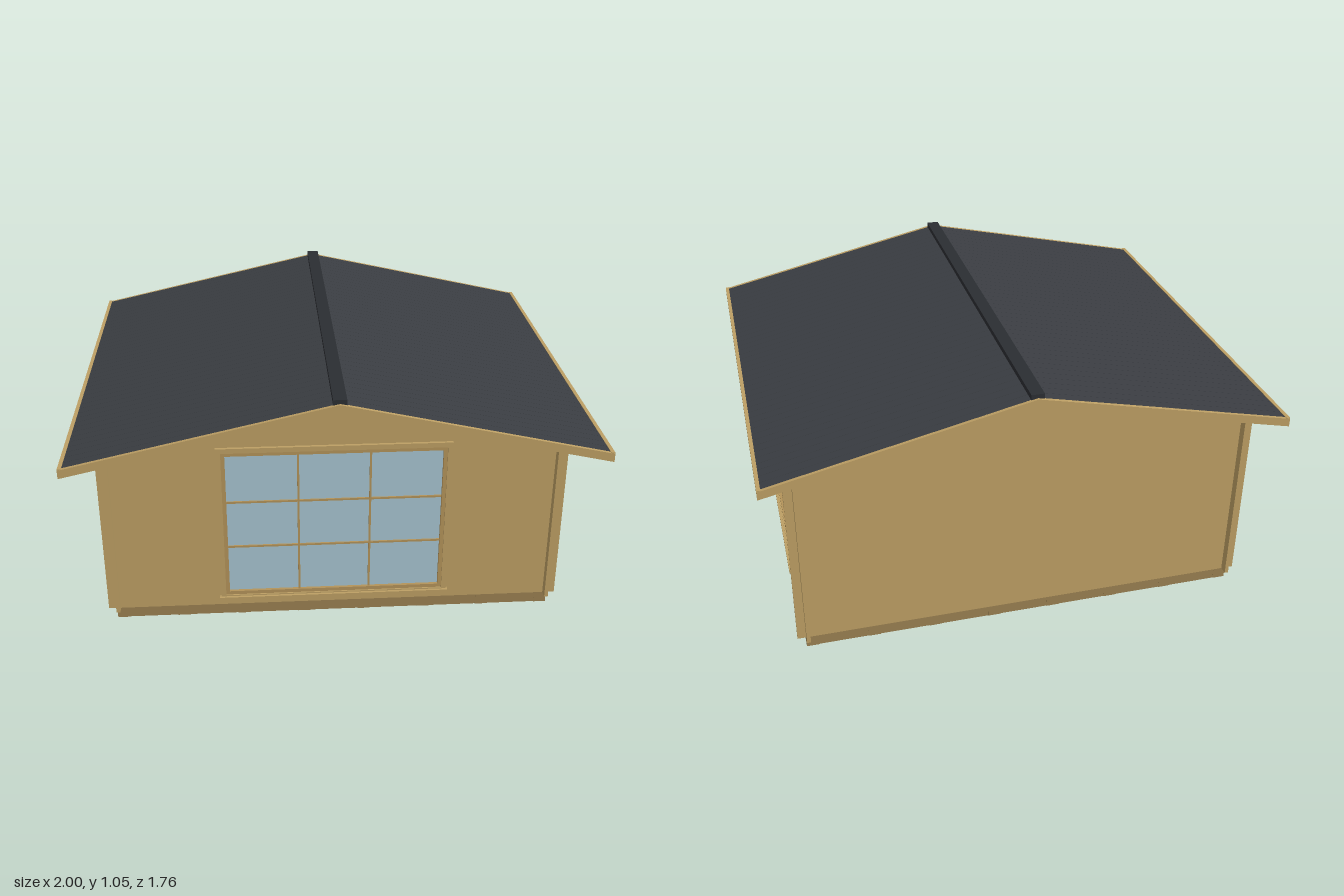
import * as THREE from 'three';

const mat = (color) => new THREE.MeshStandardMaterial({ color });
const WOOD = mat(0xbd9f64), DARK_WOOD = mat(0x9a8051), FRAME = mat(0xb3935a);
const ROOF = mat(0x3a3d42), RIDGE = mat(0x2b2e32), GLASS = mat(0xa6c4d0);

const SLOPE = 0.225, FRONT = 0.62, BACK = -0.765, SIDE = 0.875, WALL = 0.015, LOG = 0.033;
const MID_Z = (FRONT + BACK) / 2;

function add(parent, name, geometry, material) {
  const mesh = new THREE.Mesh(geometry, material);
  mesh.name = name;
  parent.add(mesh);
  return mesh;
}

// Box given by its min and max on each axis
function box(parent, name, material, x0, x1, y0, y1, z0, z1) {
  const mesh = add(parent, name, new THREE.BoxGeometry(x1 - x0, y1 - y0, z1 - z0), material);
  mesh.position.set((x0 + x1) / 2, (y0 + y1) / 2, (z0 + z1) / 2);
  return mesh;
}

const shapeOf = (points) => new THREE.Shape(points.map(([x, y]) => new THREE.Vector2(x, y)));

function extrude(parent, name, material, shape, depth, z) {
  const geometry = new THREE.ExtrudeGeometry(shape, { depth, bevelEnabled: false });
  return add(parent, name, geometry.translate(0, 0, z), material);
}

// Inverted-V strip that follows both roof slopes
function chevron(half, ridge, thickness) {
  const eave = ridge - SLOPE * half;
  return shapeOf([[-half, eave - thickness], [0, ridge - thickness], [half, eave - thickness],
    [half, eave], [0, ridge], [-half, eave]]);
}

function rectHole(shape, half, y0, y1) {
  shape.holes.push(new THREE.Path([[-half, y0], [-half, y1], [half, y1], [half, y0]]
    .map(([x, y]) => new THREE.Vector2(x, y))));
  return shape;
}

const rect = (half, y0, y1) => shapeOf([[-half, y0], [half, y0], [half, y1], [-half, y1]]);

// Nine-pane window whose wall face lies at local z = 0
function windowUnit(name, half) {
  const g = new THREE.Group();
  g.name = name;
  const y0 = 0.11, y1 = 0.72;
  extrude(g, 'windowTrim', WOOD, rectHole(rect(half + 0.035, 0.09, 0.755), half + 0.015, 0.095, 0.735), 0.012, 0);
  extrude(g, 'windowFrame', FRAME, rectHole(rect(half + 0.017, 0.09, 0.737), half, y0, y1), 0.022, -0.015);
  box(g, 'windowSill', WOOD, -half - 0.04, half + 0.04, 0.075, 0.09, -0.005, 0.022);
  box(g, 'glass', GLASS, -half, half, y0, y1, -0.011, -0.005);
  for (const s of [-1, 1]) {
    const x = s * half / 3, y = 0.415 + s * 0.1;
    box(g, 'verticalBar', FRAME, x - 0.004, x + 0.004, y0, y1, -0.014, 0.001);
    box(g, 'horizontalBar', FRAME, -half, half, y - 0.004, y + 0.004, -0.014, 0.001);
  }
  return g;
}

export function createModel() {
  const model = new THREE.Group();
  model.name = 'gardenCabin';

  // Floor: joists from front to back, end rims and cross boards
  const floor = new THREE.Group();
  floor.name = 'floor';
  model.add(floor);
  const joists = 8, joistWidth = 0.05;
  for (let i = 0; i < joists; i++) {
    const x = -SIDE + i * (2 * SIDE - joistWidth) / (joists - 1);
    box(floor, 'joist', DARK_WOOD, x, x + joistWidth, 0, 0.045, BACK, FRONT);
  }
  for (const z of [BACK + 0.001, FRONT - 0.013]) {
    box(floor, 'rimBoard', DARK_WOOD, -SIDE + 0.01, SIDE - 0.01, 0.001, 0.045, z, z + 0.012);
  }
  const planks = 34, plankPitch = (FRONT - BACK - 2 * WALL) / planks;
  for (let i = 0; i < planks; i++) {
    const z = BACK + WALL + i * plankPitch;
    box(floor, 'floorBoard', DARK_WOOD, -SIDE + WALL, SIDE - WALL, 0.045, 0.06, z, z + plankPitch - 0.0015);
  }

  // Gable walls, running past the corners
  const gable = () => {
    const w = SIDE + LOG, top = 1.02 - SLOPE * w;
    return shapeOf([[-w, 0.045], [w, 0.045], [w, top], [0, 1.02], [-w, top]]);
  };
  extrude(model, 'frontWall', WOOD, rectHole(gable(), 0.43, 0.1, 0.73), WALL, FRONT - WALL);
  extrude(model, 'backWall', WOOD, gable(), WALL, BACK);

  // Side walls, crossing the gable walls at the corners
  const halfLength = (FRONT - BACK) / 2 + LOG;
  const sideTop = 1.02 - SLOPE * SIDE;
  const rightWall = extrude(model, 'leftWindowWall', WOOD,
    rectHole(rect(halfLength, 0.045, sideTop), 0.293, 0.1, 0.73), WALL, -WALL);
  rightWall.rotation.y = Math.PI / 2;
  rightWall.position.set(SIDE, 0, MID_Z);
  box(model, 'rightPlainWall', WOOD, -SIDE, -SIDE + WALL, 0.045, sideTop, MID_Z - halfLength, MID_Z + halfLength);

  // Windows
  const frontWindow = windowUnit('frontWindow', 0.42);
  frontWindow.position.z = FRONT;
  const sideWindow = windowUnit('sideWindow', 0.283);
  sideWindow.rotation.y = Math.PI / 2;
  sideWindow.position.set(SIDE, 0, MID_Z);
  model.add(frontWindow, sideWindow);

  // Roof: narrow boards over both slopes, fascias and ridge cap
  const roof = new THREE.Group();
  roof.name = 'roof';
  model.add(roof);
  const boards = 42, pitch = 1.73 / boards;
  for (let i = 0; i < boards; i++) {
    extrude(roof, 'roofBoard', ROOF, chevron(0.986, 1.04, 0.02), pitch - 0.0015, -0.865 + i * pitch);
  }
  for (const z of [-0.878, 0.864]) {
    extrude(roof, 'gableFascia', WOOD, chevron(1, 1.04, 0.033), 0.014, z);
  }
  for (const s of [-1, 1]) {
    const x = s * 0.993;
    box(roof, 'eaveFascia', WOOD, x - 0.007, x + 0.007, 0.785, 0.82, -0.877, 0.877);
  }
  box(roof, 'ridgeCap', RIDGE, -0.025, 0.025, 1.032, 1.055, -0.868, 0.868);

  return model;
}
